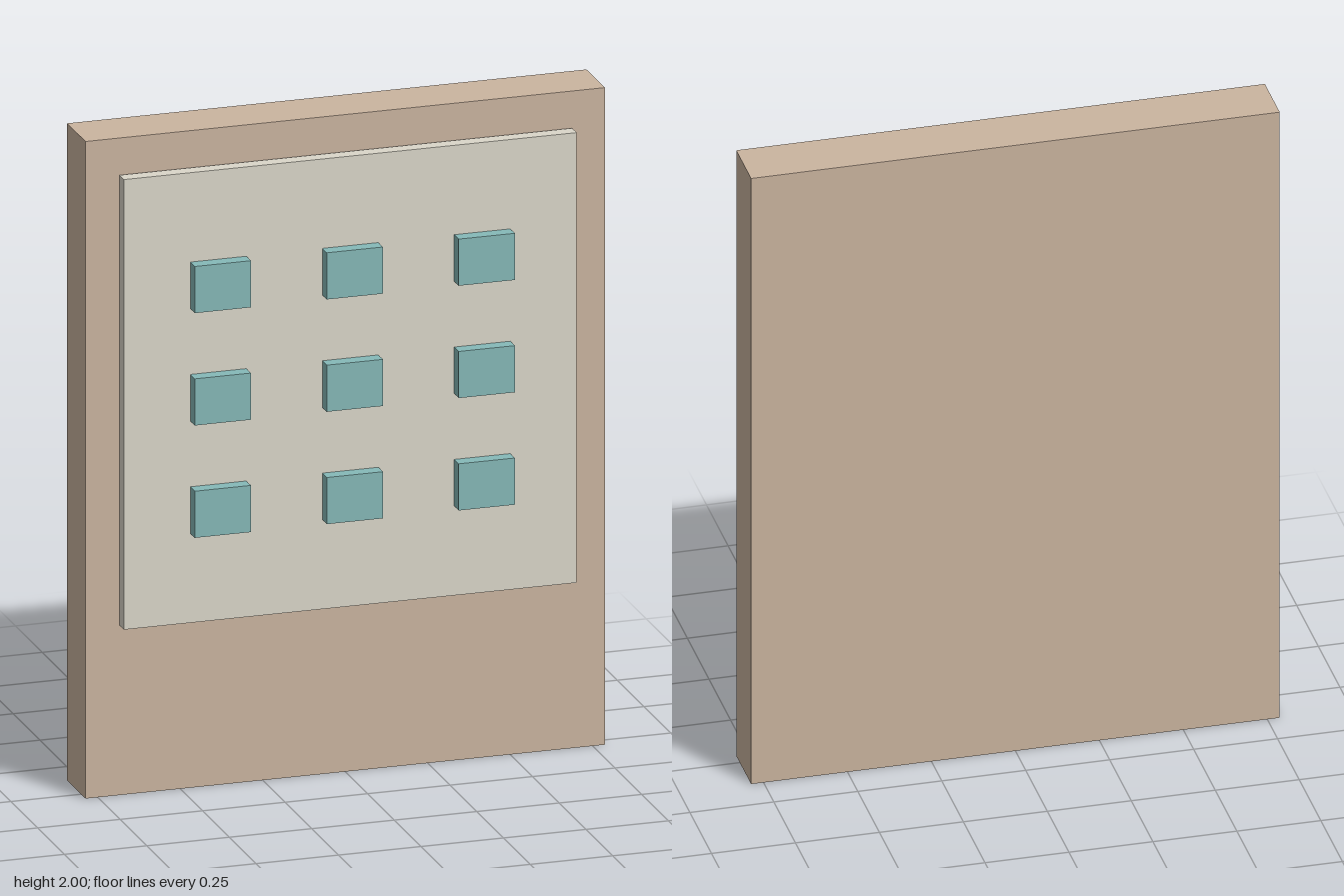
import * as THREE from 'three';

// Box centred at (x, y) spanning z0..z1
function slab(name, w, h, z0, z1, x, y, color) {
  const mesh = new THREE.Mesh(
    new THREE.BoxGeometry(w, h, z1 - z0),
    new THREE.MeshStandardMaterial({ color })
  );
  mesh.name = name;
  mesh.position.set(x, y, (z0 + z1) / 2);
  return mesh;
}

export function createModel() {
  const model = new THREE.Group();
  model.name = 'wallPanel';

  // Thick backing board
  model.add(slab('backBoard', 1.574, 2, -0.131, 0.041, 0, 1, 0xcbb5a0));

  // Thin plate floating just in front of the board
  model.add(slab('facePlate', 1.372, 1.37, 0.047, 0.089, 0, 1.204, 0xdbd7ca));

  // Three by three grid of raised blocks
  const blocks = new THREE.Group();
  blocks.name = 'blocks';
  for (let row = -1; row <= 1; row++) {
    for (let col = -1; col <= 1; col++) {
      blocks.add(slab('block', 0.17, 0.142, 0.089, 0.131, col * 0.4, 1.204 + row * 0.342, 0x86b9b8));
    }
  }
  model.add(blocks);

  return model;
}
